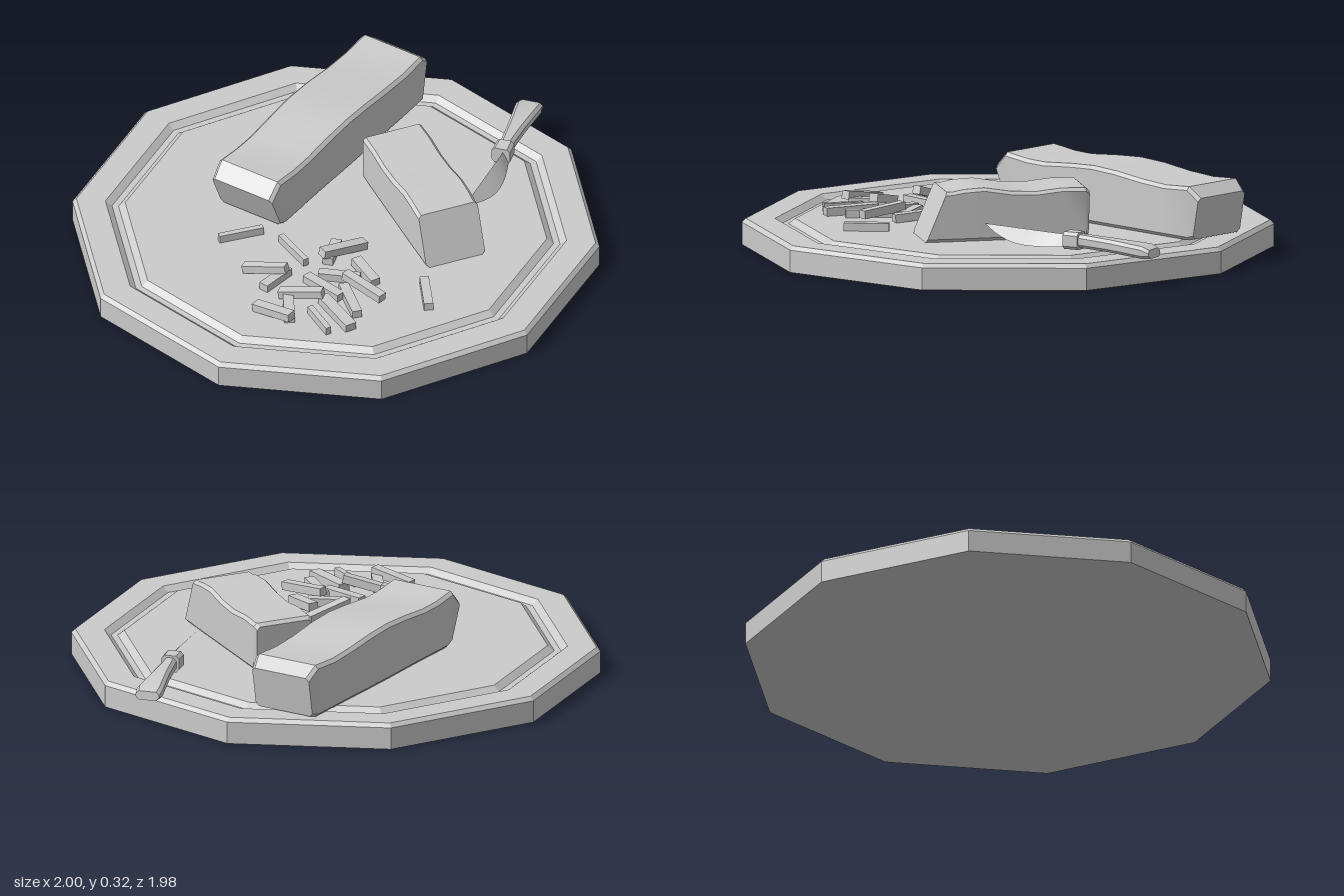
import * as THREE from 'three';
import { toCreasedNormals } from 'three/addons/utils/BufferGeometryUtils.js';

const grey = new THREE.MeshStandardMaterial({ color: 0xcccccc });
const greyThin = new THREE.MeshStandardMaterial({ color: 0xcccccc, side: THREE.DoubleSide });
const greyFlat = new THREE.MeshStandardMaterial({ color: 0xcccccc, flatShading: true });

function mesh(name, geometry, material = grey) {
  const m = new THREE.Mesh(geometry, material);
  m.name = name;
  return m;
}

// Chamfered block lofted along z; station = [z at bottom, z at top, half width, bottom y, top y]
function loft(stations, chamfer) {
  const pos = [];
  const rings = stations.map(([zb, zt, w, b, t]) => {
    const c = chamfer;
    return [[-w + c, b], [w - c, b], [w, b + c], [w, t - c], [w - c, t], [-w + c, t], [-w, t - c], [-w, b + c]]
      .map(([x, y]) => [x, y, zb + (zt - zb) * (y - b) / (t - b)]);
  });
  const tri = (...p) => p.forEach((v) => pos.push(...v));
  const n = rings[0].length;
  for (let i = 0; i < rings.length - 1; i++) {
    for (let j = 0; j < n; j++) {
      const k = (j + 1) % n;
      const [p, q] = [rings[i], rings[i + 1]];
      tri(p[j], p[k], q[k]);
      tri(p[j], q[k], q[j]);
    }
  }
  const first = rings[0], last = rings[rings.length - 1];
  for (let j = 1; j < n - 1; j++) {
    tri(first[0], first[j + 1], first[j]);
    tri(last[0], last[j], last[j + 1]);
  }
  const g = new THREE.BufferGeometry();
  g.setAttribute('position', new THREE.Float32BufferAttribute(pos, 3));
  return toCreasedNormals(g, 0.5);
}

// Ten-sided board with a bevelled rim and a groove
function createBoard() {
  const profile = [[0, 0], [1, 0], [1, 0.085], [0.985, 0.1], [0.875, 0.1], [0.85, 0.08],
    [0.825, 0.08], [0.8, 0.1], [0, 0.1]].map(([x, y]) => new THREE.Vector2(x, y));
  const board = mesh('board', new THREE.LatheGeometry(profile, 10), greyFlat);
  board.rotation.y = Math.PI / 10;
  board.position.z = 0.04;
  return board;
}

function createBlocks() {
  const long = mesh('longBlock', loft([
    [-0.5, -0.53, 0.125, 0.105, 0.265],
    [-0.48, -0.48, 0.137, 0.1, 0.305],
    [-0.36, -0.36, 0.138, 0.1, 0.297],
    [-0.24, -0.24, 0.138, 0.1, 0.303],
    [-0.1, -0.1, 0.14, 0.1, 0.317],
    [0.02, 0.02, 0.14, 0.1, 0.322],
    [0.14, 0.14, 0.138, 0.1, 0.315],
    [0.28, 0.28, 0.137, 0.1, 0.302],
    [0.37, 0.37, 0.138, 0.1, 0.303],
    [0.44, 0.48, 0.138, 0.1, 0.315],
    [0.47, 0.535, 0.135, 0.11, 0.26],
  ], 0.013), grey);
  long.position.set(-0.335, 0, -0.225);
  long.rotation.y = 0.178;

  const short = mesh('shortBlock', loft([
    [-0.3, -0.305, 0.112, 0.105, 0.275],
    [-0.29, -0.29, 0.12, 0.1, 0.287],
    [-0.2, -0.2, 0.121, 0.1, 0.29],
    [-0.1, -0.1, 0.121, 0.1, 0.28],
    [0, 0, 0.121, 0.1, 0.285],
    [0.1, 0.1, 0.121, 0.1, 0.302],
    [0.18, 0.18, 0.121, 0.1, 0.298],
    [0.27, 0.22, 0.12, 0.1, 0.29],
    [0.325, 0.245, 0.12, 0.1, 0.29],
  ], 0.012), grey);
  short.position.set(0.2, 0, -0.22);
  short.rotation.y = 1.17;
  return [long, short];
}

function createKnife() {
  const knife = new THREE.Group();
  knife.name = 'knife';
  const handle = new THREE.Group();
  handle.name = 'handle';
  handle.add(
    mesh('bolster', loft([[-0.01, -0.01, 0.036, 0.112, 0.178], [0.05, 0.05, 0.034, 0.112, 0.178]], 0.012)),
    mesh('grip', loft([
      [0.04, 0.04, 0.024, 0.12, 0.17],
      [0.18, 0.18, 0.034, 0.115, 0.163],
      [0.33, 0.33, 0.05, 0.105, 0.152],
      [0.365, 0.36, 0.046, 0.107, 0.14],
    ], 0.012)),
  );
  handle.position.set(0.2, 0, -0.647);
  handle.rotation.y = Math.atan2(-0.16, -0.325);

  // Thin tilted blade: straight spine, curved edge
  const spine = new THREE.LineCurve3(new THREE.Vector3(0.213, 0.165, -0.64), new THREE.Vector3(0.345, 0.17, -0.3));
  const edge = new THREE.CatmullRomCurve3([[0.23, 0.12, -0.655], [0.29, 0.115, -0.57],
    [0.33, 0.118, -0.48], [0.345, 0.14, -0.38], [0.345, 0.17, -0.3]].map((p) => new THREE.Vector3(...p)));
  const points = [], index = [], steps = 10;
  for (let i = 0; i <= steps; i++) {
    points.push(spine.getPoint(i / steps), edge.getPoint(i / steps));
    if (i < steps) index.push(2 * i, 2 * i + 1, 2 * i + 3, 2 * i, 2 * i + 3, 2 * i + 2);
  }
  const g = new THREE.BufferGeometry().setFromPoints(points);
  g.setIndex(index);
  g.computeVertexNormals();
  knife.add(handle, mesh('blade', g, greyThin));
  return knife;
}

// Small cut sticks: [x1, z1, x2, z2, width, y1, y2] between end points
function createSticks() {
  const sticks = new THREE.Group();
  sticks.name = 'sticks';
  const list = [
    [0.19, 0.08, 0.15, 0.27, 0.04, 0.115, 0.15],
    [0.11, 0.15, 0.17, 0.26, 0.04, 0.115, 0.115],
    [0.25, 0.19, 0.39, 0.23, 0.04, 0.125, 0.115],
    [0.51, 0.09, 0.64, 0.2, 0.035, 0.115, 0.115],
    [0.3, 0.3, 0.49, 0.295, 0.036, 0.145, 0.13],
    [0.2, 0.34, 0.33, 0.25, 0.036, 0.115, 0.115],
    [0.18, 0.385, 0.36, 0.385, 0.038, 0.115, 0.115],
    [0.32, 0.33, 0.48, 0.42, 0.038, 0.115, 0.115],
    [-0.06, 0.275, 0.115, 0.32, 0.022, 0.115, 0.115],
    [-0.145, 0.285, -0.225, 0.44, 0.022, 0.115, 0.115],
    [-0.03, 0.505, 0.135, 0.445, 0.034, 0.115, 0.165],
    [0.1, 0.4, 0.11, 0.545, 0.038, 0.115, 0.115],
    [0.18, 0.53, 0.33, 0.45, 0.036, 0.12, 0.155],
    [0.32, 0.44, 0.52, 0.495, 0.045, 0.12, 0.115],
    [0.33, 0.52, 0.475, 0.57, 0.022, 0.115, 0.115],
    [0.21, 0.515, 0.32, 0.62, 0.04, 0.115, 0.115],
    [0.165, 0.645, 0.335, 0.625, 0.04, 0.115, 0.14],
  ];
  for (const [x1, z1, x2, z2, w, y1, y2] of list) {
    const a = new THREE.Vector3(x1, y1, z1), b = new THREE.Vector3(x2, y2, z2);
    const stick = mesh('stick', new THREE.BoxGeometry(w, 0.032, a.distanceTo(b)));
    stick.position.lerpVectors(a, b, 0.5);
    stick.lookAt(b);
    sticks.add(stick);
  }
  return sticks;
}

export function createModel() {
  const model = new THREE.Group();
  model.name = 'servingBoard';
  model.add(createBoard(), ...createBlocks(), createKnife(), createSticks());
  return model;
}
